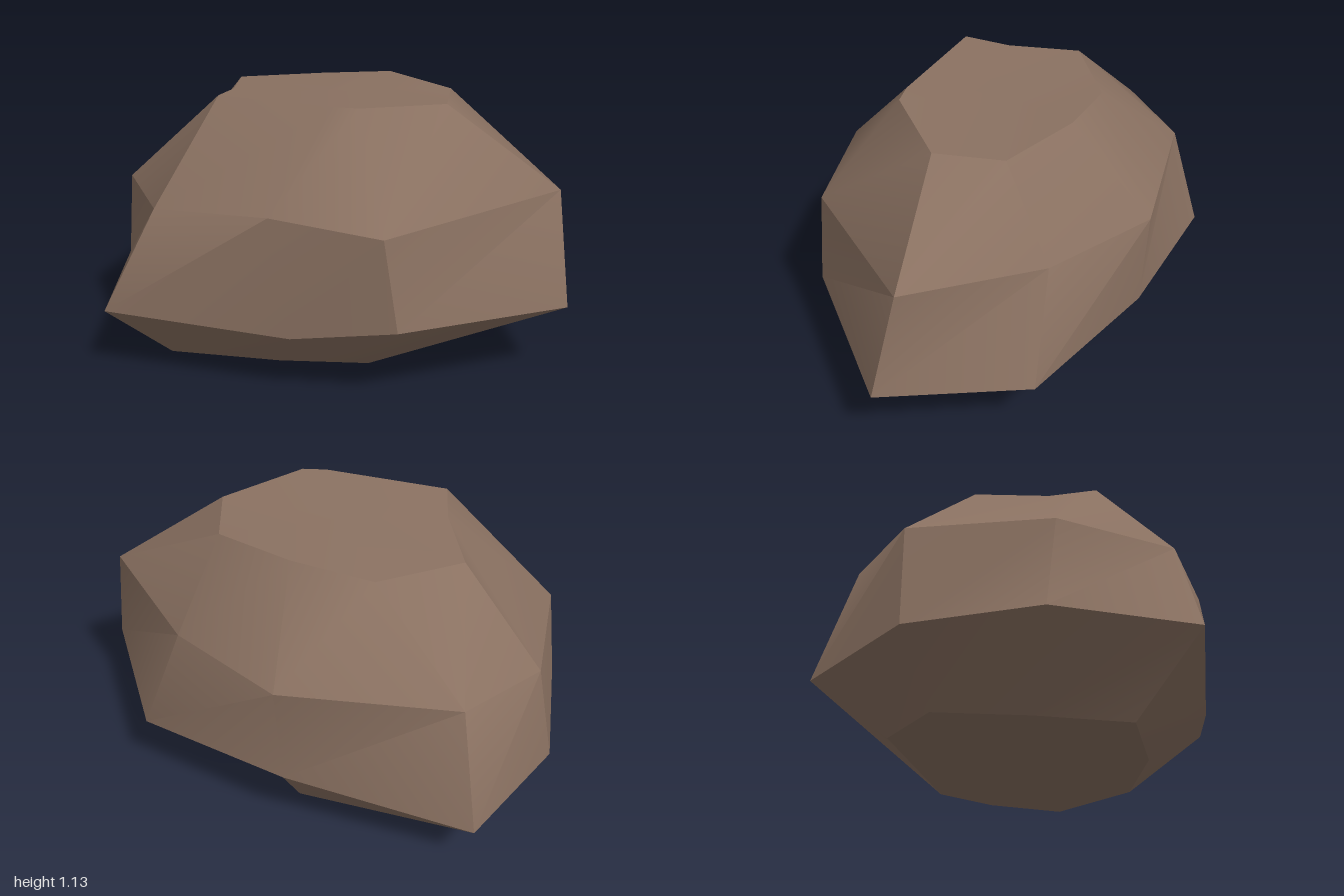
import * as THREE from 'three';
import { toCreasedNormals } from 'three/addons/utils/BufferGeometryUtils.js';

// Nine-sided cross-sections of the boulder, from base to crown, as [x, y, z]
const base = [
  [0.43, 0.03, -0.1], [0.24, 0.03, 0.26], [-0.1, 0.04, 0.41],
  [-0.6, 0, 0.46], [-0.68, 0.035, 0.1], [-0.76, 0.055, -0.26],
  [-0.62, 0.03, -0.48], [0, 0.01, -0.5], [0.2, 0.01, -0.34],
];
const belly = [
  [1, 0.325, 0], [0.48, 0.34, 0.54], [0.06, 0.27, 0.625],
  [-0.73, 0.285, 0.74], [-0.95, 0.325, 0.23], [-1, 0.295, -0.29],
  [-0.77, 0.23, -0.74], [0, 0.31, -0.72], [0.66, 0.29, -0.53],
];
const shoulder = [
  [0.92, 0.79, -0.08], [0.42, 0.715, 0.545], [-0.02, 0.765, 0.635],
  [-0.54, 0.72, 0.62], [-0.9, 0.7, 0.25], [-0.92, 0.74, -0.33],
  [-0.68, 0.72, -0.62], [0.02, 0.745, -0.74], [0.49, 0.755, -0.5],
];
const crown = [
  [0.46, 1.11, 0], [0.2, 1.13, 0.28], [0.1, 1.13, 0.3],
  [-0.42, 1.12, 0.29], [-0.46, 1.1, 0.1], [-0.58, 1.08, -0.18],
  [-0.28, 1.08, -0.4], [0.05, 1.12, -0.4], [0.38, 1.105, -0.27],
];

// Skins consecutive rings and closes both ends with a fan
function loftRings(rings) {
  const n = rings[0].length;
  const positions = [];
  const triangle = (a, b, c) => positions.push(...a, ...b, ...c);
  const centre = (ring) => [0, 1, 2].map((k) => ring.reduce((sum, p) => sum + p[k], 0) / n);
  const top = rings[rings.length - 1];
  const bottomCentre = centre(rings[0]);
  const topCentre = centre(top);

  for (let j = 0; j < n; j++) {
    const next = (j + 1) % n;
    for (let i = 0; i < rings.length - 1; i++) {
      const low = rings[i];
      const high = rings[i + 1];
      triangle(low[j], high[j], low[next]);
      triangle(high[j], high[next], low[next]);
    }
    triangle(bottomCentre, rings[0][j], rings[0][next]);
    triangle(topCentre, top[next], top[j]);
  }

  const geometry = new THREE.BufferGeometry();
  geometry.setAttribute('position', new THREE.Float32BufferAttribute(positions, 3));
  return toCreasedNormals(geometry, THREE.MathUtils.degToRad(30));
}

export function createModel() {
  const group = new THREE.Group();
  group.name = 'rock';

  const stone = new THREE.MeshStandardMaterial({ color: 0x8a7161 });
  stone.name = 'brown stone';

  const boulder = new THREE.Mesh(loftRings([base, belly, shoulder, crown]), stone);
  boulder.name = 'boulder';
  group.add(boulder);
  return group;
}
